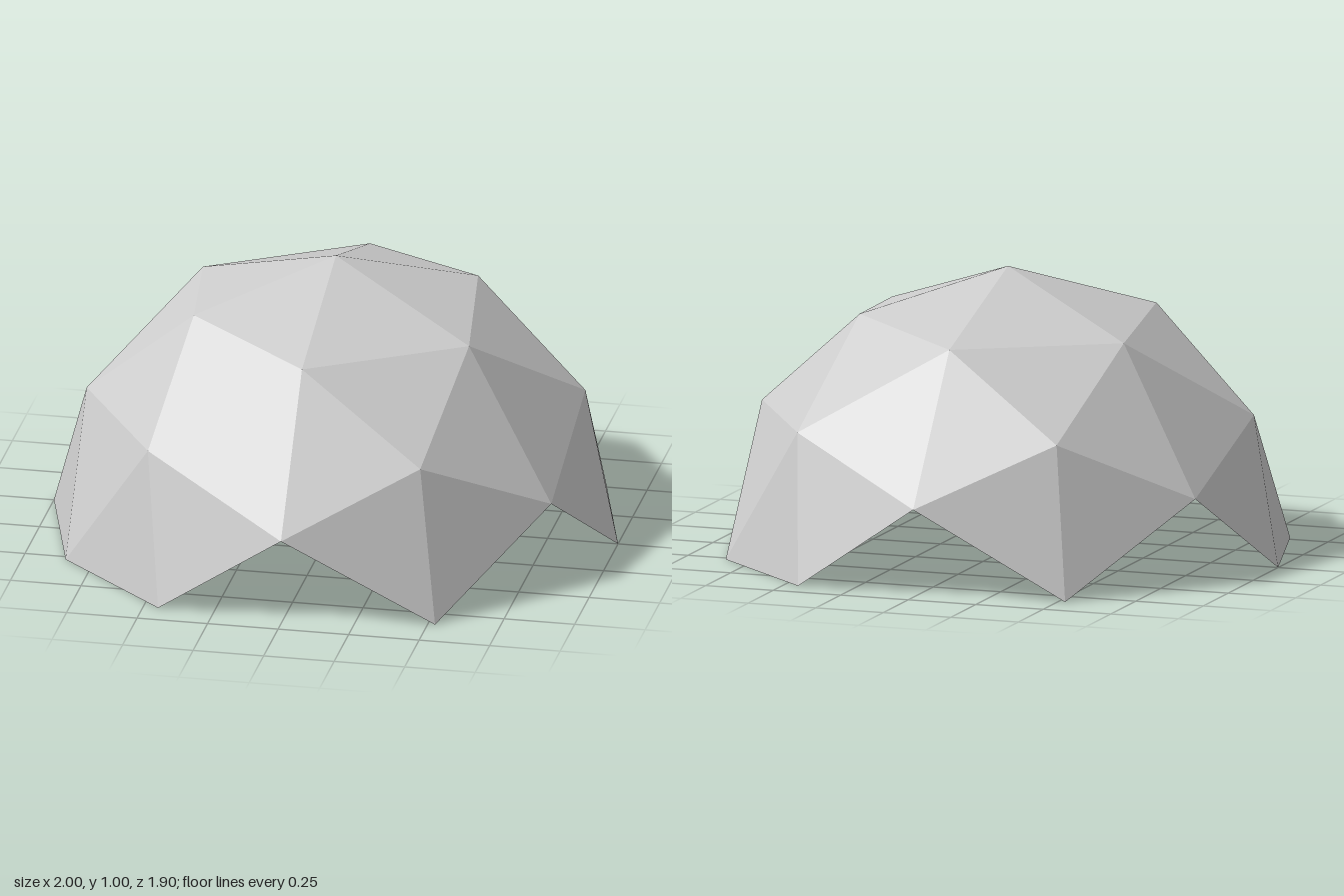
import * as THREE from 'three';

export function createModel() {
  const model = new THREE.Group();
  const shellGrey = new THREE.MeshStandardMaterial({ name: 'shellGrey', color: 0xcccccc, flatShading: true, side: THREE.DoubleSide });

  // Geodesic sphere turned so two five-way joints lie on the x axis
  const sphere = new THREE.IcosahedronGeometry(1, 1);
  sphere.rotateY(Math.atan2(2, 1 + Math.sqrt(5)));

  // Keep only whole panels above the ground, which leaves the arched openings
  const p = sphere.attributes.position;
  const kept = [];
  for (let i = 0; i < p.count; i += 3) {
    const corners = [i, i + 1, i + 2];
    if (corners.every((c) => p.getY(c) > -0.001)) {
      corners.forEach((c) => kept.push(p.getX(c), p.getY(c), p.getZ(c)));
    }
  }
  const shell = new THREE.BufferGeometry();
  shell.setAttribute('position', new THREE.Float32BufferAttribute(kept, 3));
  shell.computeVertexNormals();
  const dome = new THREE.Mesh(shell, shellGrey);
  dome.name = 'domeShell';
  model.add(dome);

  // Tiny cart standing in the middle of the floor
  const cart = new THREE.Group();
  cart.name = 'cart';
  const box = (name, w, h, d, x, y, z) => {
    const mesh = new THREE.Mesh(new THREE.BoxGeometry(w, h, d), shellGrey);
    mesh.name = name;
    mesh.position.set(x, y, z);
    cart.add(mesh);
  };
  box('cartDeck', 0.036, 0.008, 0.1, 0, 0.023, 0.06);
  box('cartCab', 0.036, 0.02, 0.03, 0, 0.034, 0.108);
  box('cartRoof', 0.03, 0.012, 0.028, 0, 0.06, 0.112);
  for (const side of [-1, 1]) {
    box('cartRail', 0.005, 0.005, 0.12, side * 0.016, 0.01, 0.065);
    for (const z of [0.098, 0.122]) box('cartPost', 0.004, 0.016, 0.004, side * 0.012, 0.05, z);
    for (const z of [0.03, 0.1]) {
      const wheel = new THREE.Mesh(new THREE.CylinderGeometry(0.01, 0.01, 0.006, 8), shellGrey);
      wheel.name = 'cartWheel';
      wheel.rotation.z = Math.PI / 2;
      wheel.position.set(side * 0.018, 0.01, z);
      cart.add(wheel);
    }
  }
  model.add(cart);
  return model;
}
